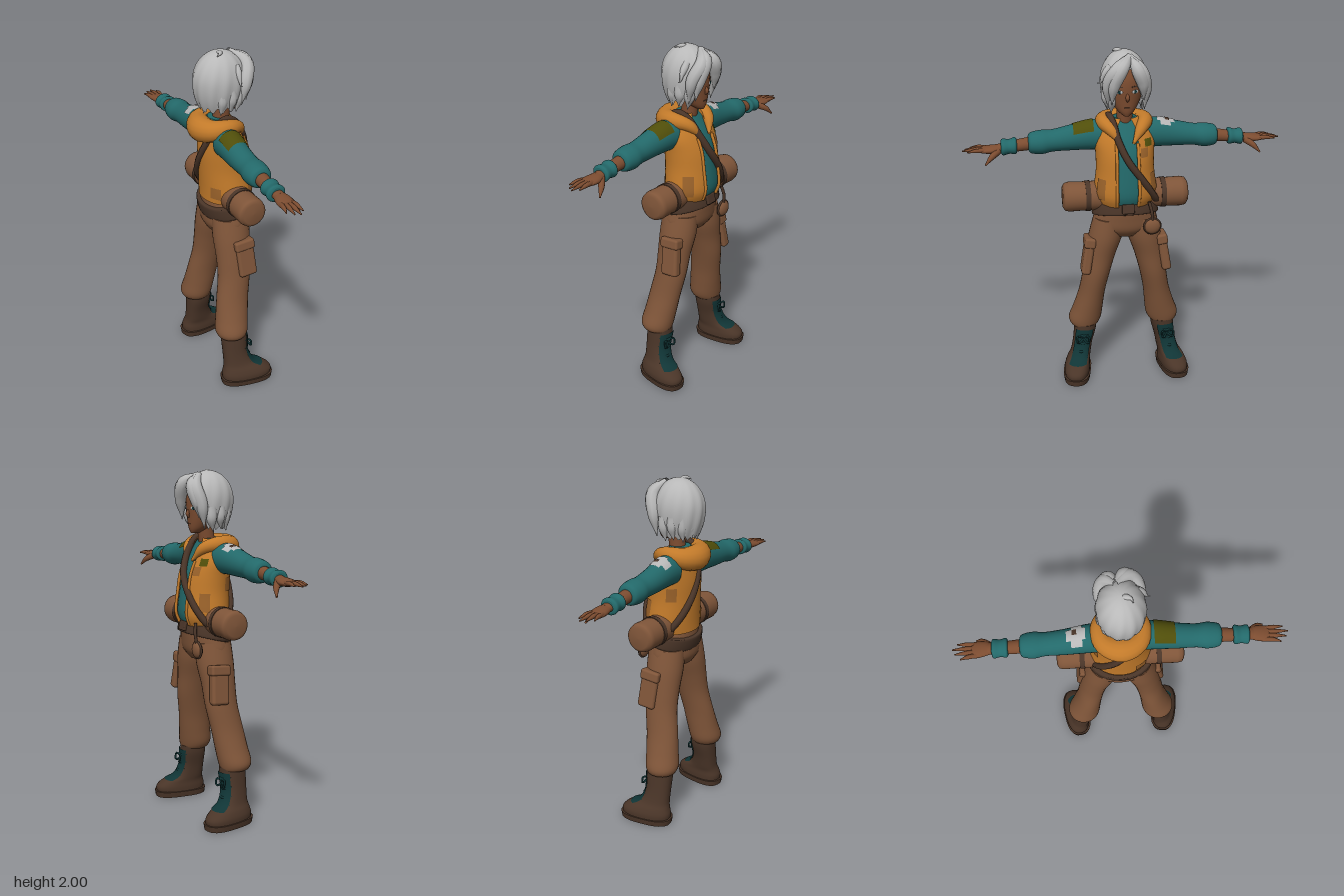
import * as THREE from 'three';
import { mergeVertices } from 'three/addons/utils/BufferGeometryUtils.js';
import { RoundedBoxGeometry } from 'three/addons/geometries/RoundedBoxGeometry.js';

const mat = (name, color) => {
  const m = new THREE.MeshStandardMaterial({ color, side: THREE.DoubleSide });
  m.name = name;
  return m;
};
const V = (p) => new THREE.Vector3(...p);

// smooth interpolation through a list of number tuples, t in 0..1
function along(list, t) {
  const f = t * (list.length - 1), i = Math.min(Math.floor(f), list.length - 2), u = f - i;
  const g = (k) => list[Math.max(0, Math.min(list.length - 1, k))];
  return list[i].map((b, k) => {
    const a = g(i - 1)[k], c = g(i + 1)[k], d = g(i + 2)[k];
    return b + 0.5 * u * (c - a + u * (2 * a - 5 * b + 4 * c - d + u * (3 * (b - c) + d - a)));
  });
}

// skin oval sections [position, centre1, centre2, radius1, radius2] along y or x;
// a0..a1 and t0..t1 cut out a piece of the surface, e squares the oval
function loft(secs, { axis = 'y', a0 = 0, a1 = Math.PI * 2, t0 = 0, t1 = 1, off = 0, e = 1, n = 28, rows = 24 } = {}) {
  const full = a1 - a0 > 6.28, cols = full ? n : n + 1, pos = [], idx = [];
  const put = (p, c1, c2) => axis === 'y' ? pos.push(c1, p, c2) : pos.push(p, c1, c2);
  const pw = (v) => Math.sign(v) * Math.abs(v) ** e;
  const ring = (t) => {
    const [p, c1, c2, r1, r2] = along(secs, t);
    for (let j = 0; j < cols; j++) {
      const a = a0 + (a1 - a0) * j / n;
      put(p, c1 + (r1 + off) * pw(Math.sin(a)), c2 + (r2 + off) * pw(Math.cos(a)));
    }
  };
  const flip = (secs.at(-1)[0] > secs[0][0]) !== (axis === 'y');
  const tri = (a, b, c) => flip ? idx.push(a, c, b) : idx.push(a, b, c);
  for (let i = 0; i <= rows; i++) ring(t0 + (t1 - t0) * i / rows);
  for (let i = 0; i < rows; i++) for (let j = 0; j < n; j++) {
    const a = i * cols + j, b = i * cols + (j + 1) % cols;
    tri(a, b, b + cols); tri(a, b + cols, a + cols);
  }
  if (full) for (const t of [t0, t1]) {
    const s = pos.length / 3;
    ring(t);
    const [p, c1, c2] = along(secs, t);
    put(p, c1, c2);
    for (let j = 0; j < n; j++) t === t0 ? tri(s + n, s + (j + 1) % n, s + j) : tri(s + n, s + j, s + (j + 1) % n);
  }
  const g = new THREE.BufferGeometry();
  g.setAttribute('position', new THREE.Float32BufferAttribute(pos, 3));
  g.setIndex(idx);
  g.computeVertexNormals();
  return g;
}

// tube along points with a changing radius
function sweep(pts, radii, closed = false, sides = 10, seg = 20) {
  const curve = new THREE.CatmullRomCurve3(pts.map(V), closed);
  let g = new THREE.TubeGeometry(curve, seg, 1, sides, closed);
  const p = g.attributes.position, v = new THREE.Vector3(), rl = radii.map((r) => [r]);
  for (let i = 0; i < p.count; i++) {
    const t = Math.floor(i / (sides + 1)) / seg, c = curve.getPointAt(t);
    v.fromBufferAttribute(p, i).sub(c).multiplyScalar(Math.max(0.001, along(rl, t)[0])).add(c);
    p.setXYZ(i, v.x, v.y, v.z);
  }
  g.deleteAttribute('uv'); g.deleteAttribute('normal');
  g = mergeVertices(g, 1e-5);
  g.computeVertexNormals();
  return g;
}

// hair cap: a dome whose lower edge is high over the face and ragged at the back
function hairCap() {
  const n = 72, rows = 24, pos = [], idx = [];
  for (let i = 0; i <= rows; i++) for (let j = 0; j < n; j++) {
    const a = j / n * Math.PI * 2, front = Math.abs(a > Math.PI ? a - 2 * Math.PI : a);
    const k = THREE.MathUtils.smoothstep(front, 0.6, 1.15);
    const phi = i / rows * (1.05 + k * (1.4 + 0.1 * Math.sin(13 * a))), d = Math.max(0, phi - Math.PI / 2);
    const r = (d ? 1 - 0.3 * d * d : Math.sin(phi)) * (1 + 0.03 * Math.sin(12 * a + 2 * phi) * i / rows);
    pos.push(-0.003 + 0.128 * r * Math.sin(a), 1.83 + 0.165 * (d ? -d : Math.cos(phi)), -0.01 + 0.148 * r * Math.cos(a));
  }
  for (let i = 0; i < rows; i++) for (let j = 0; j < n; j++) {
    const a = i * n + j, b = i * n + (j + 1) % n;
    idx.push(a, a + n, b + n, a, b + n, b);
  }
  const g = new THREE.BufferGeometry();
  g.setAttribute('position', new THREE.Float32BufferAttribute(pos, 3));
  g.setIndex(idx);
  g.computeVertexNormals();
  return g;
}

export function createModel() {
  const root = new THREE.Group(), body = new THREE.Group();
  root.name = 'traveller'; body.name = 'figure';
  root.add(body);
  body.rotation.y = Math.PI / 2; // built facing +z, turned to face +x
  const skin = mat('skin', 0x7c4c30), hair = mat('hair', 0xb8b8b8), teal = mat('tealCloth', 0x23696a);
  const orange = mat('orangeCloth', 0xc27a2a), brown = mat('brownCloth', 0x7f5539), leather = mat('darkLeather', 0x4a3528);
  const dark = mat('darkTeal', 0x103536), olive = mat('olivePatch', 0x504e0a), rust = mat('wornOrange', 0x9a622a);
  const add = (name, geo, m, parent = body) => {
    const o = new THREE.Mesh(geo, m);
    o.name = name;
    parent.add(o);
    return o;
  };

  // head, neck and face
  add('head', loft([[1.65, 0, 0.075, 0.018, 0.025], [1.68, 0, 0.05, 0.052, 0.06], [1.74, 0, 0.03, 0.085, 0.085],
    [1.8, 0, 0.02, 0.098, 0.1], [1.86, 0, 0.01, 0.1, 0.105], [1.92, 0, 0, 0.085, 0.09], [1.96, 0, 0, 0.04, 0.05]]), skin);
  add('neck', loft([[1.52, 0, -0.02, 0.06, 0.055], [1.6, 0, 0, 0.045, 0.047], [1.72, 0, 0.01, 0.045, 0.05]]), skin);
  add('nose', sweep([[0, 1.785, 0.112], [0, 1.755, 0.122], [0, 1.738, 0.113]], [0.004, 0.011, 0.006]), skin);
  add('mouth', new THREE.BoxGeometry(0.03, 0.004, 0.006), leather).position.set(0, 1.702, 0.112);
  for (const s of [-1, 1]) {
    const eye = new THREE.Group();
    eye.name = 'eye';
    eye.position.set(s * 0.043, 1.79, 0.108);
    eye.rotation.y = s * 0.42;
    body.add(eye);
    add('eyeWhite', new THREE.SphereGeometry(1, 14, 8), hair, eye).scale.set(0.02, 0.011, 0.004);
    const iris = add('iris', new THREE.SphereGeometry(1, 12, 8), dark, eye);
    iris.scale.set(0.008, 0.01, 0.003); iris.position.z = 0.003;
    add('brow', new THREE.BoxGeometry(0.042, 0.006, 0.006), leather, eye).position.y = 0.028;
  }

  // hair
  add('hairCap', hairCap(), hair);
  const locks = [
    [[0.02, 1.975, 0.06], [-0.05, 1.92, 0.125], [-0.1, 1.83, 0.1], [-0.1, 1.7, 0.075]],
    [[0.02, 1.97, 0.07], [-0.025, 1.93, 0.13], [-0.07, 1.84, 0.125], [-0.085, 1.72, 0.11]],
    [[0.02, 1.975, 0.06], [0.07, 1.91, 0.11], [0.1, 1.81, 0.09], [0.1, 1.68, 0.07]],
    [[0.02, 1.965, 0.08], [0.05, 1.92, 0.12], [0.083, 1.84, 0.112], [0.092, 1.74, 0.1]],
    [[-0.08, 1.92, 0.05], [-0.12, 1.87, 0.05], [-0.14, 1.83, 0.05], [-0.155, 1.83, 0.05]],
    [[0, 1.96, -0.02], [-0.03, 1.985, -0.02], [-0.05, 1.99, -0.03], [-0.06, 1.98, -0.05]]];
  locks.forEach((p, i) => add('hairLock', sweep(p, i < 4 ? [0.015, 0.038, 0.033, 0.002] : [0.02, 0.02, 0.01, 0.002]), hair));
  for (let i = 0; i < 9; i++) {
    const a = 1.35 + i * 0.5, x = Math.sin(a), z = Math.cos(a);
    add('napeLock', sweep([[x * 0.1, 1.8, z * 0.115], [x * 0.1, 1.73, z * 0.11], [x * 0.1, 1.66 + 0.012 * (i % 2), z * 0.105 - 0.01]], [0.03, 0.03, 0.002]), hair);
  }

  // shirt, open vest and its worn spots
  const torso = [[1.135, 0, 0.02, 0.165, 0.135], [1.2, 0, 0.03, 0.18, 0.145], [1.32, 0, 0.022, 0.165, 0.142],
    [1.42, 0, 0.012, 0.165, 0.135], [1.5, 0, 0, 0.168, 0.115], [1.57, 0, -0.015, 0.14, 0.09], [1.62, 0, -0.02, 0.075, 0.065]];
  add('shirt', loft(torso, { off: -0.012 }), teal);
  add('vest', loft(torso, { a0: 0.38, a1: Math.PI * 2 - 0.36, n: 40 }), orange);
  const spots = [[0.85, 1.25, 0.2, 0.34, rust], [5.1, 5.5, 0.12, 0.3, rust], [3.6, 4.0, 0.1, 0.22, rust], [0.45, 0.75, 0.5, 0.6, rust],
    [0.62, 0.95, 0.61, 0.7, olive], [1.9, 2.3, 0.35, 0.48, rust]];
  for (const [a0, a1, t0, t1, m] of spots) add('vestPatch', loft(torso, { a0, a1, t0, t1, off: 0.004, n: 8, rows: 6 }), m);
  for (const s of [-1, 1]) add('vestEdge', sweep([[s * 0.06, 1.14, 0.145], [s * 0.062, 1.2, 0.166], [s * 0.062, 1.32, 0.154], [s * 0.06, 1.42, 0.138], [s * 0.06, 1.5, 0.108]], [0.009, 0.009]), orange);
  add('hood', sweep([[-0.035, 1.5, 0.115], [-0.085, 1.57, 0.065], [-0.115, 1.59, -0.01], [-0.085, 1.575, -0.09], [0, 1.565, -0.12],
    [0.085, 1.575, -0.09], [0.115, 1.59, -0.01], [0.085, 1.57, 0.065], [0.035, 1.5, 0.115]],
  [0.008, 0.032, 0.045, 0.06, 0.072, 0.06, 0.045, 0.032, 0.008], false, 16, 40), orange);

  // shoulder strap, front and back
  add('shoulderStrap', sweep([[-0.07, 1.6, 0.05], [-0.05, 1.52, 0.105], [0, 1.41, 0.148], [0.07, 1.31, 0.152], [0.13, 1.22, 0.128], [0.17, 1.15, 0.08],
    [0.17, 1.13, 0], [0.12, 1.22, -0.082], [0.03, 1.36, -0.122], [-0.05, 1.5, -0.105], [-0.08, 1.59, -0.07], [-0.085, 1.63, -0.01]],
  [0.02, 0.02], true, 8, 64), leather);

  // arms
  for (const s of [-1, 1]) {
    const arm = new THREE.Group();
    arm.name = s > 0 ? 'leftArm' : 'rightArm';
    body.add(arm);
    const sleeve = [[0.12, 1.515, -0.03, 0.088, 0.078], [0.2, 1.513, -0.035, 0.083, 0.074], [0.3, 1.5, -0.04, 0.072, 0.068],
      [0.4, 1.488, -0.04, 0.062, 0.064], [0.46, 1.482, -0.04, 0.067, 0.072], [0.52, 1.48, -0.04, 0.058, 0.062], [0.535, 1.48, -0.04, 0.038, 0.04]]
      .map(([x, ...r]) => [x * s, ...r]);
    const ax = { axis: 'x' };
    add('sleeve', loft(sleeve, ax), teal, arm);
    const patch = { axis: 'x', a0: 0.45, a1: 2.6, t0: 0.12, t1: 0.31, off: 0.004, n: 14, rows: 8 };
    if (s < 0) add('sleevePatch', loft(sleeve, patch), olive, arm);
    else {
      add('sleevePatch', loft(sleeve, { ...patch, a0: 0.75, a1: 2.5, t0: 0.17, t1: 0.27 }), hair, arm);
      add('sleevePatchTab', loft(sleeve, { ...patch, a0: 1.1, a1: 2, t0: 0.14, t1: 0.31 }), hair, arm);
      add('sleevePatchHole', loft(sleeve, { ...patch, a0: 1.2, a1: 1.6, t0: 0.22, t1: 0.26, off: 0.008 }), leather, arm);
    }
    add('forearm', loft([[s * 0.5, 1.48, -0.04, 0.038, 0.04], [s * 0.6, 1.468, -0.04, 0.033, 0.036], [s * 0.71, 1.458, -0.036, 0.022, 0.032]], ax), skin, arm);
    add('wristband', loft([[s * 0.598, 1.468, -0.04, 0.036, 0.038], [s * 0.608, 1.468, -0.04, 0.047, 0.053], [s * 0.64, 1.465, -0.04, 0.04, 0.048],
      [s * 0.675, 1.463, -0.04, 0.046, 0.053], [s * 0.686, 1.463, -0.04, 0.034, 0.036]], ax), teal, arm);
    add('palm', loft([[s * 0.68, 1.46, -0.036, 0.02, 0.028], [s * 0.73, 1.455, -0.035, 0.023, 0.043], [s * 0.785, 1.453, -0.04, 0.016, 0.046], [s * 0.8, 1.453, -0.04, 0.008, 0.038]], ax), skin, arm);
    [[0.87, -0.002], [0.898, -0.03], [0.885, -0.058], [0.855, -0.088]].forEach(([x, z], i) => add('finger',
      sweep([[s * 0.765, 1.455, -0.01 - i * 0.02], [s * 0.82, 1.458, (z - 0.01 - i * 0.02) / 2], [s * x, 1.452, z]], [0.012, 0.012, 0.004]), skin, arm));
    add('thumb', sweep([[s * 0.7, 1.45, -0.015], [s * 0.74, 1.425, 0.02], [s * 0.775, 1.388, 0.04]], [0.02, 0.016, 0.005]), skin, arm);
  }

  // trousers
  add('trouserSeat', loft([[1.14, 0, 0.02, 0.15, 0.125], [1.05, 0, 0.015, 0.18, 0.122], [0.98, 0, 0.01, 0.185, 0.115], [0.93, 0, 0.005, 0.11, 0.085]]), brown);
  for (const s of [-1, 1]) {
    const leg = new THREE.Group();
    leg.name = s > 0 ? 'leftLeg' : 'rightLeg';
    body.add(leg);
    add('trouserLeg', loft([[1.04, 0.09, 0.012, 0.09, 0.108], [0.92, 0.113, 0.01, 0.098, 0.11], [0.8, 0.143, 0.005, 0.088, 0.1], [0.68, 0.168, 0, 0.08, 0.097],
      [0.55, 0.193, -0.022, 0.078, 0.097], [0.44, 0.216, -0.038, 0.088, 0.097], [0.36, 0.235, -0.05, 0.097, 0.097], [0.32, 0.24, -0.048, 0.082, 0.085], [0.31, 0.24, -0.045, 0.06, 0.07]]
      .map(([y, x, ...r]) => [y, x * s, ...r]), { rows: 40 }), brown, leg);
    const pocket = new THREE.Group();
    pocket.name = 'cargoPocket';
    pocket.position.set(s * 0.222, 0.81, 0.045);
    pocket.rotation.set(-0.08, 0, s * 0.16);
    leg.add(pocket);
    add('pocketBag', new RoundedBoxGeometry(0.055, 0.2, 0.11, 3, 0.018), brown, pocket).position.y = -0.01;
    add('pocketFlap', new RoundedBoxGeometry(0.066, 0.06, 0.122, 3, 0.014), brown, pocket).position.y = 0.085;

    // boots, toes turned out
    const boot = new THREE.Group();
    boot.name = 'boot';
    boot.position.set(s * 0.285, 0, 0);
    boot.rotation.y = s * 0.16;
    leg.add(boot);
    const upper = [[0.02, 0.005, 0.025, 0.075, 0.148], [0.06, 0.005, 0.025, 0.077, 0.152], [0.095, 0, 0.01, 0.07, 0.128], [0.13, -0.012, -0.022, 0.062, 0.09],
      [0.2, -0.025, -0.04, 0.06, 0.074], [0.28, -0.04, -0.042, 0.066, 0.076], [0.33, -0.045, -0.042, 0.066, 0.076]].map(([y, x, ...r]) => [y, x * s, ...r]);
    add('bootUpper', loft(upper, { e: 0.85 }), leather, boot);
    add('bootSole', loft([[0, 0.005 * s, 0.025, 0.078, 0.155], [0.035, 0.005 * s, 0.025, 0.083, 0.16]], { e: 0.75, rows: 2 }), leather, boot);
    add('bootTongue', loft(upper, { e: 0.85, a0: -0.75, a1: 0.75, t0: 0.38, t1: 0.9, off: 0.006, n: 12 }), dark, boot);
    for (let i = 0; i < 4; i++) {
      const [y, x, z, rx, rz] = along(upper, 0.5 + i * 0.11);
      add('lace', sweep([[x - rx * 0.7, y, z + rz * 0.65], [x, y - 0.012, z + rz + 0.008], [x + rx * 0.7, y, z + rz * 0.65]], [0.008, 0.008], false, 6, 10), dark, boot);
    }
    for (const k of [-1, 1]) add('laceBow', sweep([[-0.035 * s, 0.25, 0.035], [-0.035 * s + k * 0.035, 0.265, 0.05], [-0.035 * s + k * 0.03, 0.225, 0.055]], [0.006, 0.006], true, 6, 16), dark, boot);
  }

  // tilted belt with buckle
  const belt = new THREE.Group();
  belt.name = 'belt';
  belt.position.y = 1.09;
  belt.rotation.x = -0.24;
  body.add(belt);
  add('beltBand', loft([[-0.038, 0, 0.015, 0.183, 0.132], [-0.03, 0, 0.015, 0.192, 0.14], [0.03, 0, 0.017, 0.186, 0.14], [0.038, 0, 0.017, 0.178, 0.132]], { rows: 8 }), leather);
  belt.add(body.children.at(-1));
  add('buckle', new RoundedBoxGeometry(0.07, 0.055, 0.02, 2, 0.006), leather, belt).position.set(0, 0, 0.158);

  // bedrolls at both hips, with straps
  const profile = [[0.001, -0.36], [0.06, -0.357], [0.079, -0.345], [0.085, -0.32], [0.083, -0.25], [0.083, 0.25], [0.085, 0.32], [0.079, 0.345], [0.06, 0.357], [0.001, 0.36]];
  const roll = add('bedroll', new THREE.LatheGeometry(profile.map((p) => new THREE.Vector2(...p)), 32), brown);
  roll.rotation.z = Math.PI / 2;
  roll.position.set(0, 1.168, 0.018);
  for (const s of [-1, 1]) {
    const strap = add('bedrollStrap', new THREE.CylinderGeometry(0.087, 0.087, 0.028, 32), leather);
    strap.rotation.z = Math.PI / 2;
    strap.position.set(s * 0.215, 1.168, 0.018);
  }

  // round pouch hanging from the belt
  const pouch = add('roundPouch', new THREE.SphereGeometry(1, 20, 14), brown);
  pouch.scale.set(0.047, 0.047, 0.025);
  pouch.position.set(0.14, 1.01, 0.14);
  add('pouchRim', new THREE.TorusGeometry(0.046, 0.007, 8, 28), leather).position.copy(pouch.position);
  add('pouchCord', sweep([[0.14, 1.05, 0.145], [0.135, 1.1, 0.15], [0.12, 1.16, 0.14]], [0.009, 0.009]), leather);
  return root;
}
